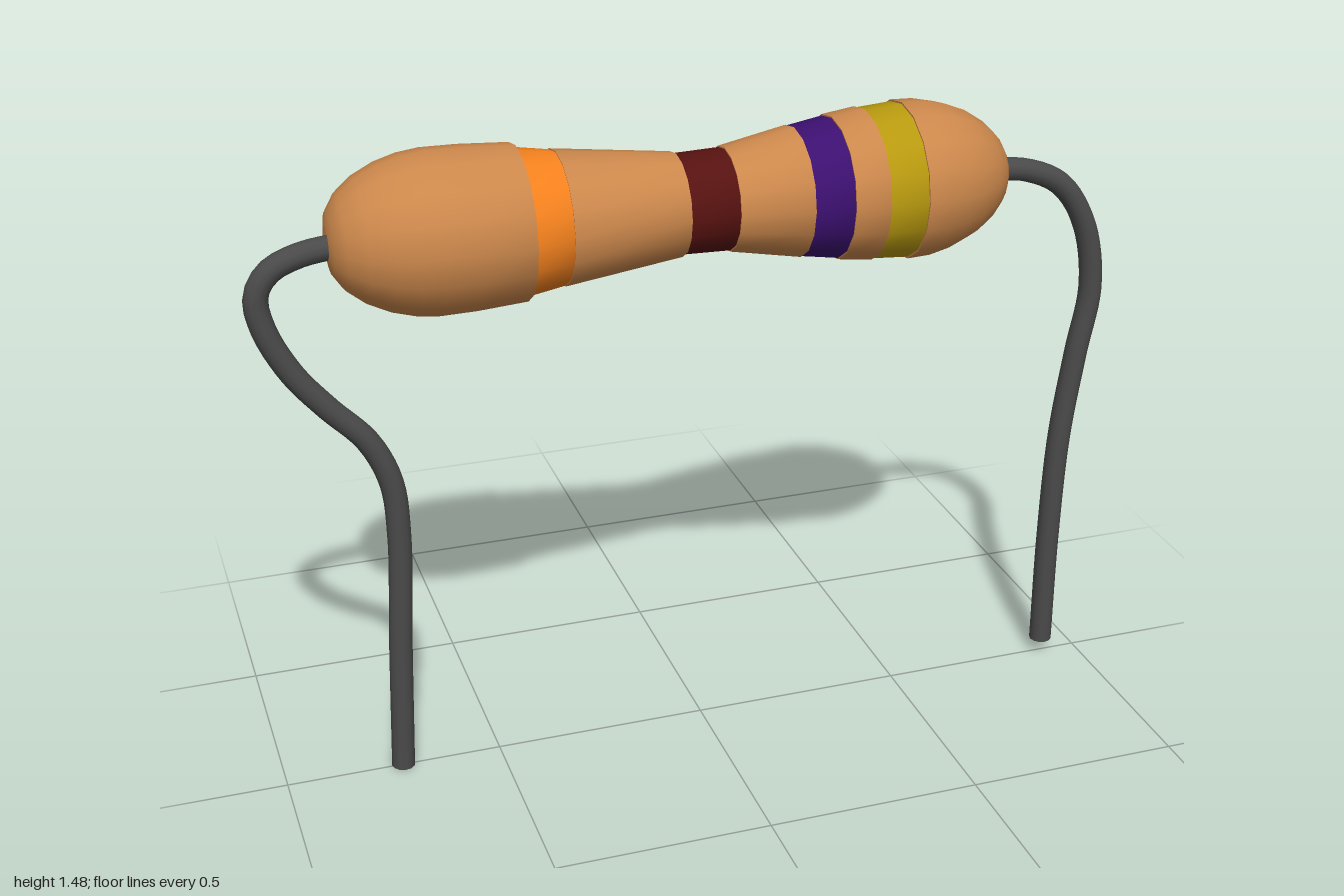
import * as THREE from 'three';
import { toCreasedNormals } from 'three/addons/utils/BufferGeometryUtils.js';

const AXIS_Y = 1.303;
const SIDES = 16;
const WIRE_RADIUS = 0.027;

const material = (color) => new THREE.MeshStandardMaterial({ color, side: THREE.DoubleSide });

// Turned part along the x axis from [x, radius] pairs
function turned(name, profile, mat) {
  const points = profile.map(([x, r]) => new THREE.Vector2(r, x));
  const geometry = new THREE.LatheGeometry(points, SIDES);
  geometry.rotateZ(-Math.PI / 2);
  const mesh = new THREE.Mesh(toCreasedNormals(geometry, 0.8), mat);
  mesh.name = name;
  mesh.position.y = AXIS_Y;
  return mesh;
}

// Bent wire with a flat disc closing each end
function wire(name, path, mat) {
  const group = new THREE.Group();
  group.name = name;
  const curve = new THREE.CatmullRomCurve3(path.map(([x, y]) => new THREE.Vector3(x, y, 0)));
  group.add(new THREE.Mesh(new THREE.TubeGeometry(curve, 64, WIRE_RADIUS, 12), mat));
  for (const t of [0, 1]) {
    const cap = new THREE.Mesh(new THREE.CircleGeometry(WIRE_RADIUS, 12), mat);
    cap.position.copy(curve.getPoint(t));
    const outward = curve.getTangent(t).multiplyScalar(t ? 1 : -1);
    cap.quaternion.setFromUnitVectors(new THREE.Vector3(0, 0, 1), outward);
    group.add(cap);
  }
  return group;
}

export function createModel() {
  const model = new THREE.Group();
  model.name = 'resistor';
  const tan = material(0xcc884c);
  const steel = material(0x4a4a4a);

  // Body sections, stepping down slightly into each band
  const sections = {
    rightLobe: [[-0.818, 0.036], [-0.812, 0.068], [-0.79, 0.102], [-0.75, 0.134], [-0.7, 0.158],
      [-0.65, 0.172], [-0.6, 0.178], [-0.52, 0.177], [-0.407, 0.17], [-0.407, 0.155]],
    rightTaper: [[-0.322, 0.143], [-0.322, 0.148], [-0.055, 0.115], [-0.055, 0.106]],
    leftTaper: [[0.055, 0.108], [0.055, 0.116], [0.215, 0.146], [0.215, 0.142]],
    leftSpacer: [[0.302, 0.154], [0.302, 0.161], [0.38, 0.171], [0.38, 0.166]],
    leftLobe: [[0.467, 0.171], [0.467, 0.178], [0.52, 0.176], [0.57, 0.165], [0.62, 0.145],
      [0.665, 0.115], [0.695, 0.085], [0.71, 0.06], [0.715, 0.036]],
  };
  for (const [name, profile] of Object.entries(sections)) model.add(turned(name, profile, tan));

  // Colour bands
  const bands = [
    ['orangeBand', 0xf5821e, [-0.407, 0.16], [-0.322, 0.146]],
    ['brownBand', 0x561210, [-0.055, 0.11], [0.055, 0.113]],
    ['violetBand', 0x3c1070, [0.215, 0.144], [0.302, 0.158]],
    ['goldBand', 0xb8990f, [0.38, 0.168], [0.467, 0.174]],
  ];
  for (const [name, color, a, b] of bands) model.add(turned(name, [a, b], material(color)));

  // Leads
  model.add(wire('rightLead', [[-0.73, 0], [-0.717, 0.335], [-0.705, 0.6], [-0.715, 0.735],
    [-0.76, 0.84], [-0.84, 0.93], [-0.91, 1.02], [-0.962, 1.13], [-0.971, 1.205],
    [-0.94, 1.255], [-0.875, 1.284], [-0.78, 1.297]], steel));
  model.add(wire('leftLead', [[0.908, 0.035], [0.908, 0.335], [0.918, 0.6], [0.945, 0.815],
    [0.97, 0.985], [0.942, 1.14], [0.875, 1.245], [0.785, 1.29], [0.68, 1.303]], steel));
  return model;
}
